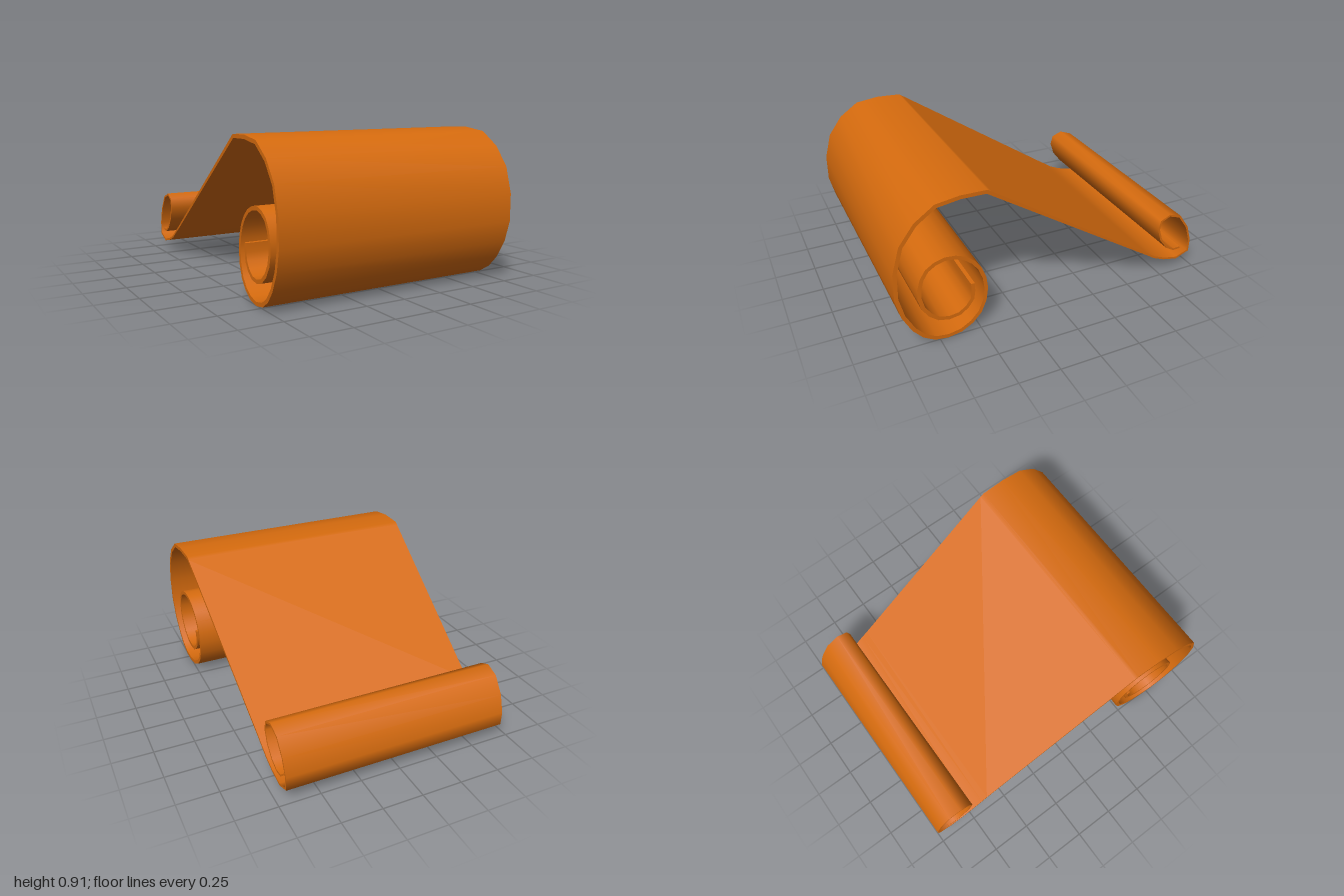
import * as THREE from 'three';

const material = new THREE.MeshStandardMaterial({ color: 0xd66b0e });

// Front scroll, from its inner end outwards: [half width, y, z]
const scrollPoints = [
  [0.738, 0.322, 0.539], [0.738, 0.22, 0.544], [0.742, 0.145, 0.625], [0.748, 0.155, 0.748],
  [0.752, 0.257, 0.839], [0.754, 0.386, 0.855], [0.752, 0.493, 0.807], [0.747, 0.536, 0.7],
  [0.742, 0.504, 0.582], [0.739, 0.413, 0.496], [0.737, 0.268, 0.458], [0.741, 0.118, 0.5],
  [0.75, 0.032, 0.62], [0.76, 0.037, 0.78], [0.768, 0.145, 0.903], [0.776, 0.375, 0.99],
  [0.776, 0.69, 0.946], [0.774, 0.885, 0.748], [0.767, 0.9, 0.458],
];

// Back curl, from the sloping panel to its inner end
const curlPoints = [
  [0.766, 0.887, 0.438], [0.714, 0.2, -0.61], [0.713, 0.175, -0.65], [0.71, 0.128, -0.72], [0.708, 0.095, -0.8],
  [0.705, 0.072, -0.9], [0.703, 0.105, -0.988], [0.703, 0.185, -0.99], [0.705, 0.29, -0.956],
  [0.707, 0.385, -0.888], [0.71, 0.414, -0.807], [0.713, 0.388, -0.745], [0.714, 0.33, -0.73],
  [0.713, 0.25, -0.757], [0.71, 0.18, -0.812], [0.707, 0.146, -0.87], [0.705, 0.148, -0.92],
];

const toVectors = (list) => list.map((p) => new THREE.Vector3(...p));

// Sheet of given thickness that follows a path in the yz plane
function sheetGeometry(path, thicknessAt) {
  const last = path.length - 1;
  const normalOf = (i) => {
    const a = path[i], b = path[i + 1];
    return new THREE.Vector2(-(b.y - a.y), b.z - a.z).normalize(); // (z, y)
  };
  const rings = path.map((p, i) => {
    const n1 = normalOf(Math.max(i - 1, 0)), n2 = normalOf(Math.min(i, last - 1));
    const m = n1.clone().add(n2).divideScalar(1 + n1.dot(n2)); // mitred offset
    const h = thicknessAt(i / last, p) / 2;
    return [[-1, 1], [1, 1], [1, -1], [-1, -1]].map(([sx, sn]) =>
      [sx * p.x, p.y + sn * h * m.y, p.z + sn * h * m.x]);
  });

  const positions = [], index = [];
  const add = (...corners) => {
    const base = positions.length / 3;
    corners.forEach((c) => positions.push(...c));
    return base;
  };
  // Four separate strips keep the long edges sharp
  for (let k = 0; k < 4; k++) {
    const base = positions.length / 3;
    rings.forEach((r) => add(r[k], r[(k + 1) % 4]));
    for (let i = 0; i < last; i++) {
      const a = base + i * 2;
      index.push(a, a + 2, a + 3, a, a + 3, a + 1);
    }
  }
  // End faces
  const s = add(...rings[0]);
  index.push(s, s + 1, s + 2, s, s + 2, s + 3);
  const e = add(...rings[last]);
  index.push(e, e + 2, e + 1, e, e + 3, e + 2);

  const geometry = new THREE.BufferGeometry();
  geometry.setAttribute('position', new THREE.Float32BufferAttribute(positions, 3));
  geometry.setIndex(index);
  geometry.computeVertexNormals();
  return geometry;
}

export function createModel() {
  const group = new THREE.Group();
  group.name = 'scrolledSheet';

  const scroll = new THREE.CatmullRomCurve3(toVectors(scrollPoints))
    .getPoints((scrollPoints.length - 1) * 2);
  const path = [...scroll, ...toVectors(curlPoints)];

  // Thinner towards the back
  const thicknessAt = (t, p) => THREE.MathUtils.mapLinear(
    THREE.MathUtils.clamp(p.z, -0.7, 0.6), -0.7, 0.6, 0.013, 0.023);

  const sheet = new THREE.Mesh(sheetGeometry(path, thicknessAt), material);
  sheet.name = 'rolledSheet';
  group.add(sheet);
  return group;
}
